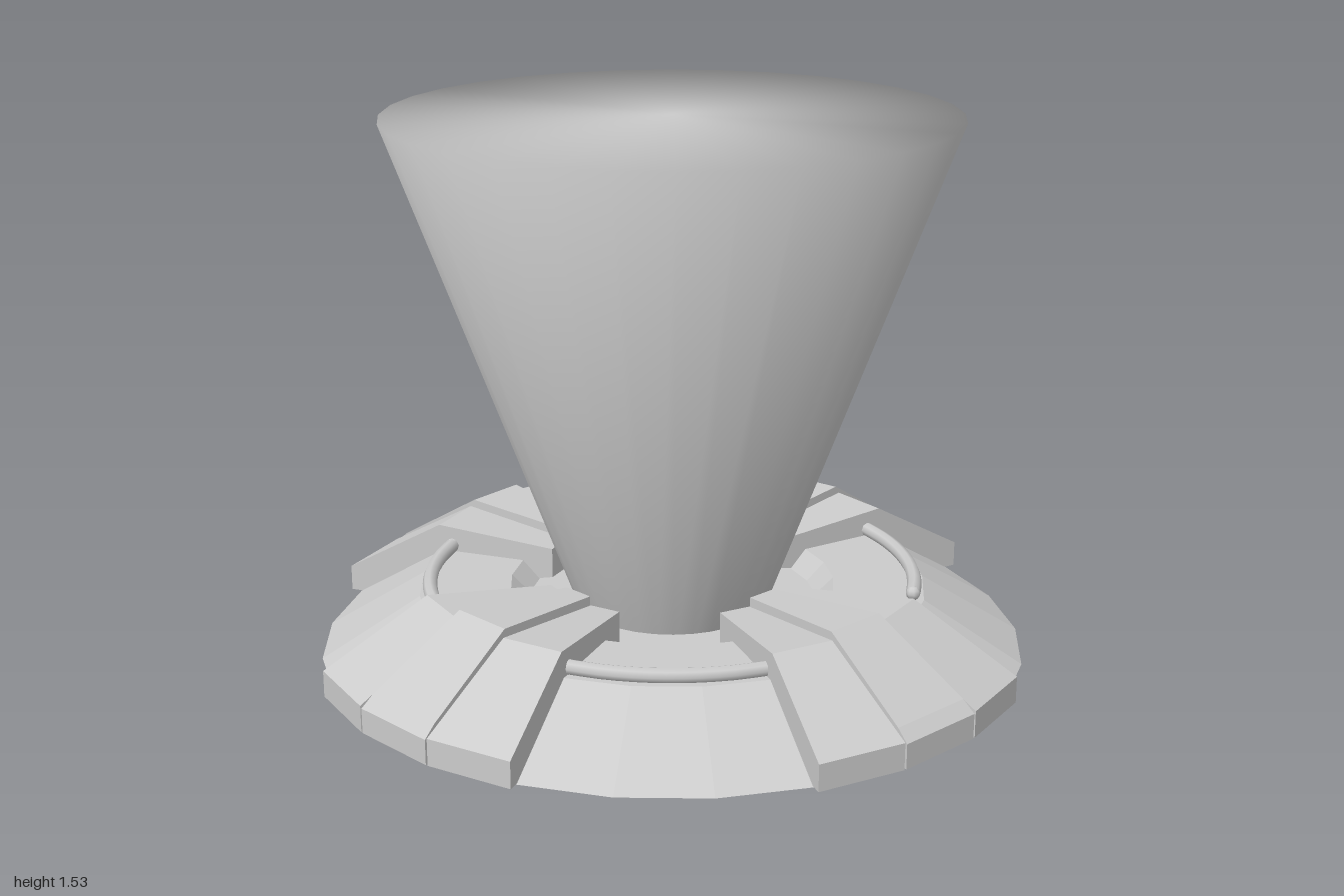
import * as THREE from 'three';
import { mergeVertices } from 'three/addons/utils/BufferGeometryUtils.js';

const SIDES = 25;
const STEP = (Math.PI * 2) / SIDES;
const flat = new THREE.MeshStandardMaterial({ color: 0xcccccc, flatShading: true, side: THREE.DoubleSide });
const smooth = new THREE.MeshStandardMaterial({ color: 0xcccccc });

const toPoints = (profile) => profile.map(([r, y]) => new THREE.Vector2(r, y));

function add(parent, name, geometry, material) {
  const mesh = new THREE.Mesh(geometry, material);
  mesh.name = name;
  parent.add(mesh);
  return mesh;
}

// Angle runs from +x towards -z
const polar = (r, y, a) => [r * Math.cos(a), y, -r * Math.sin(a)];

// Solid slice: a counter-clockwise (radius, height) profile swept straight from angle a0 to a1
function wedge(profile, a0, a1) {
  const pos = [];
  const n = profile.length;
  const put = (i, a) => pos.push(...polar(profile[i][0], profile[i][1], a));
  for (let i = 0; i < n; i++) {
    const j = (i + 1) % n;
    put(i, a0); put(j, a1); put(i, a1);
    put(i, a0); put(j, a0); put(j, a1);
  }
  for (const [a, b, c] of THREE.ShapeUtils.triangulateShape(toPoints(profile), [])) {
    put(a, a0); put(c, a0); put(b, a0);
    put(a, a1); put(b, a1); put(c, a1);
  }
  // Make the winding face outwards by checking the signed volume
  let volume = 0;
  const v = [new THREE.Vector3(), new THREE.Vector3(), new THREE.Vector3()];
  for (let i = 0; i < n * 18; i += 9) {
    v.forEach((p, k) => p.fromArray(pos, i + k * 3));
    const normal = v[1].clone().sub(v[0]).cross(v[2].clone().sub(v[0]));
    const mid = (a0 + a1) / 2;
    const cx = profile.reduce((s, p) => s + p[0], 0) / n;
    const cy = profile.reduce((s, p) => s + p[1], 0) / n;
    volume += normal.dot(v[0].clone().sub(new THREE.Vector3(...polar(cx, cy, mid))));
  }
  if (volume < 0) {
    for (let i = 0; i < n * 18; i += 9) {
      for (let k = 0; k < 3; k++) [pos[i + 3 + k], pos[i + 6 + k]] = [pos[i + 6 + k], pos[i + 3 + k]];
    }
  }
  const g = new THREE.BufferGeometry();
  g.setAttribute('position', new THREE.Float32BufferAttribute(pos, 3));
  g.computeVertexNormals();
  return g;
}

export function createModel() {
  const model = new THREE.Group();
  model.name = 'projectorPad';

  // Faceted base dish with a recess underneath
  const base = [[0.2, 0.13], [0.53, 0.13], [0.53, 0], [0.97, 0.065], [0.7, 0.23], [0.45, 0.23], [0.4, 0.18], [0.2, 0.18]];
  add(model, 'base', new THREE.LatheGeometry(toPoints(base), SIDES, Math.PI / 2), flat);

  // Four groups of three armour blocks, the middle one raised, with a pipe beside each group
  const sideBlock = [[0.36, 0.19], [0.95, 0.067], [1.0, 0.067], [1.0, 0.14], [0.71, 0.305], [0.36, 0.275]];
  const midBlock = [[0.36, 0.19], [0.95, 0.067], [1.0, 0.067], [1.0, 0.135], [0.965, 0.165], [0.7, 0.325], [0.36, 0.3]];
  for (let k = 0; k < 4; k++) {
    const group = new THREE.Group();
    group.name = 'blockGroup';
    group.rotation.y = k * 6 * STEP;
    model.add(group);
    const gap = 0.006;
    add(group, 'sideBlock', wedge(sideBlock, -STEP, -gap), flat);
    add(group, 'middleBlock', wedge(midBlock, 0, STEP), flat);
    add(group, 'sideBlock', wedge(sideBlock, STEP + gap, 2 * STEP), flat);

    const path = [];
    for (let i = 0; i <= 6; i++) path.push(new THREE.Vector3(...polar(0.67, 0.248, -STEP * (4 - i / 2))));
    const curve = new THREE.CatmullRomCurve3(path);
    add(group, 'pipe', new THREE.TubeGeometry(curve, 12, 0.02, 8), smooth);
    const cap = add(group, 'pipeEnd', new THREE.SphereGeometry(0.02, 8, 6), smooth);
    cap.position.copy(path[0]);
  }

  // Toothed ring in the recess
  const ring = [[0.3, 0.09], [0.35, 0.08], [0.35, 0.135]];
  add(model, 'recessRing', new THREE.LatheGeometry(toPoints(ring), SIDES, Math.PI / 2), flat);
  const tooth = [[0.25, 0.09], [0.33, 0.065], [0.34, 0.13], [0.25, 0.13]];
  const teeth = new THREE.Group();
  teeth.name = 'teeth';
  model.add(teeth);
  for (let i = 0; i < SIDES; i++) {
    add(teeth, 'tooth', wedge(tooth, (i + 0.25) * STEP, (i + 0.75) * STEP), flat);
  }

  // Flared cone, shaded smoothly across its rim and caps
  let cone = new THREE.CylinderGeometry(0.765, 0.217, 1.485, 32);
  cone.deleteAttribute('uv');
  cone.deleteAttribute('normal');
  cone = mergeVertices(cone);
  cone.computeVertexNormals();
  add(model, 'cone', cone, smooth).position.y = 0.05 + 1.485 / 2;

  return model;
}
